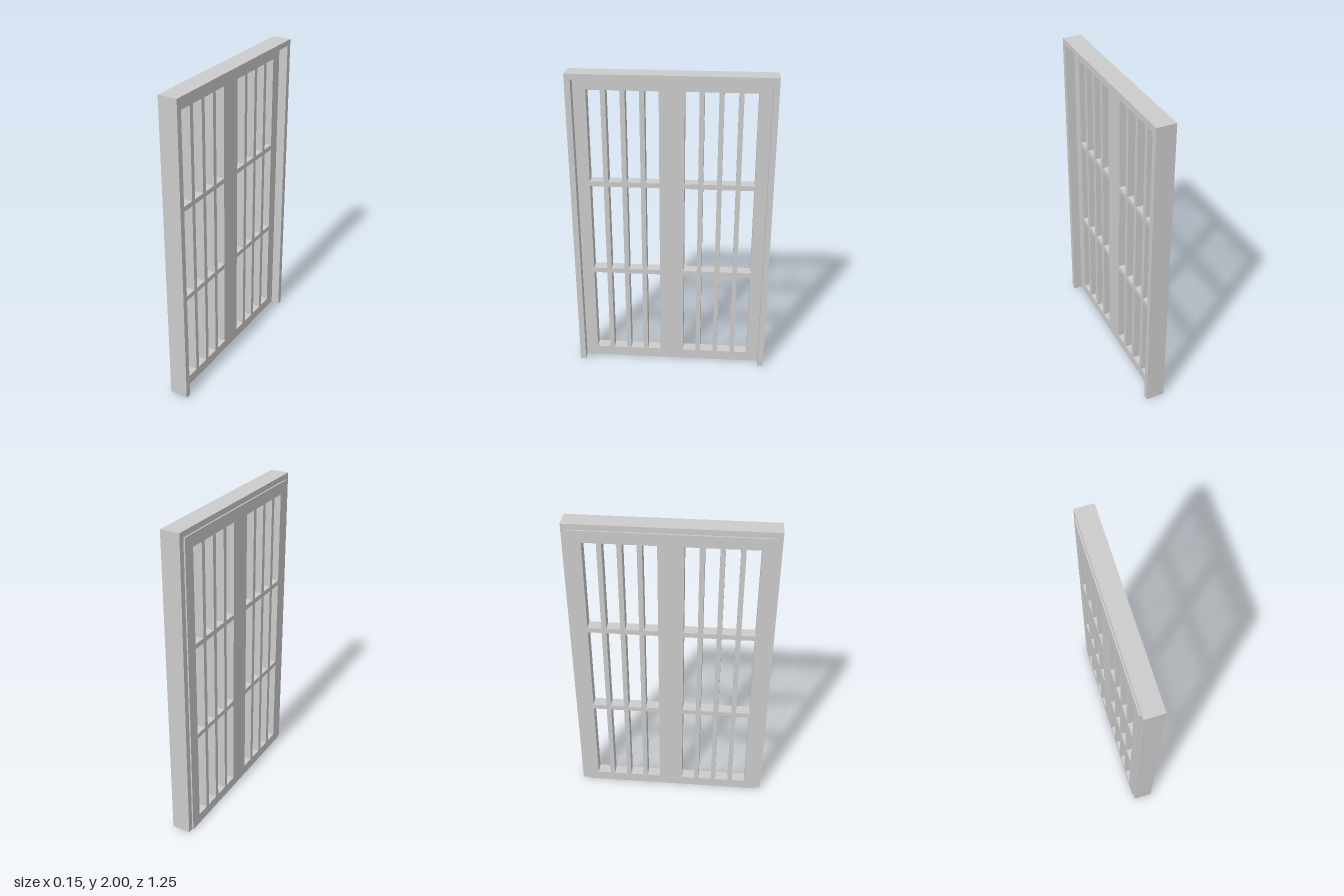
import * as THREE from 'three';

const material = new THREE.MeshStandardMaterial({ color: 0xcccccc, flatShading: true });

// Traces a rectangle on a shape or hole path
function rect(path, x0, y0, x1, y1) {
  path.moveTo(x0, y0);
  path.lineTo(x1, y0);
  path.lineTo(x1, y1);
  path.lineTo(x0, y1);
  path.closePath();
  return path;
}

// Extrudes a shape drawn across the doorway from x = back to x = front
function slab(name, shape, back, front) {
  const geometry = new THREE.ExtrudeGeometry(shape, { depth: front - back, bevelEnabled: false });
  geometry.rotateY(Math.PI / 2);
  geometry.translate(back, 0, 0);
  const mesh = new THREE.Mesh(geometry, material);
  mesh.name = name;
  return mesh;
}

export function createModel() {
  const group = new THREE.Group();
  group.name = 'latticeDoor';

  const halfFrame = 0.623, halfPanel = 0.587, panelTop = 1.965;

  // Door frame: two jambs and a lintel, open at the floor
  const frame = new THREE.Shape();
  frame.moveTo(-halfFrame, 0);
  frame.lineTo(-halfPanel, 0);
  frame.lineTo(-halfPanel, panelTop);
  frame.lineTo(halfPanel, panelTop);
  frame.lineTo(halfPanel, 0);
  frame.lineTo(halfFrame, 0);
  frame.lineTo(halfFrame, 2);
  frame.lineTo(-halfFrame, 2);
  frame.closePath();
  group.add(slab('doorFrame', frame, -0.06, 0.06));

  // Lattice panel: two leaves, each four openings wide and three high
  const panel = rect(new THREE.Shape(), -halfPanel, 0, halfPanel, panelTop);
  const rows = [[0.067, 0.655], [0.687, 1.271], [1.303, 1.89]];
  const inner = 0.077, outer = 0.51, bar = 0.03;
  const pitch = (outer - inner + bar) / 4;
  for (const side of [-1, 1]) {
    for (let i = 0; i < 4; i++) {
      const a = inner + i * pitch, b = a + pitch - bar;
      for (const [y0, y1] of rows) {
        panel.holes.push(rect(new THREE.Path(), side * a, y0, side * b, y1));
      }
    }
  }
  group.add(slab('latticePanel', panel, -0.069, 0.003));

  // The door stands very slightly turned
  group.rotation.y = 0.02;
  group.position.x = 0.0035;
  return group;
}
